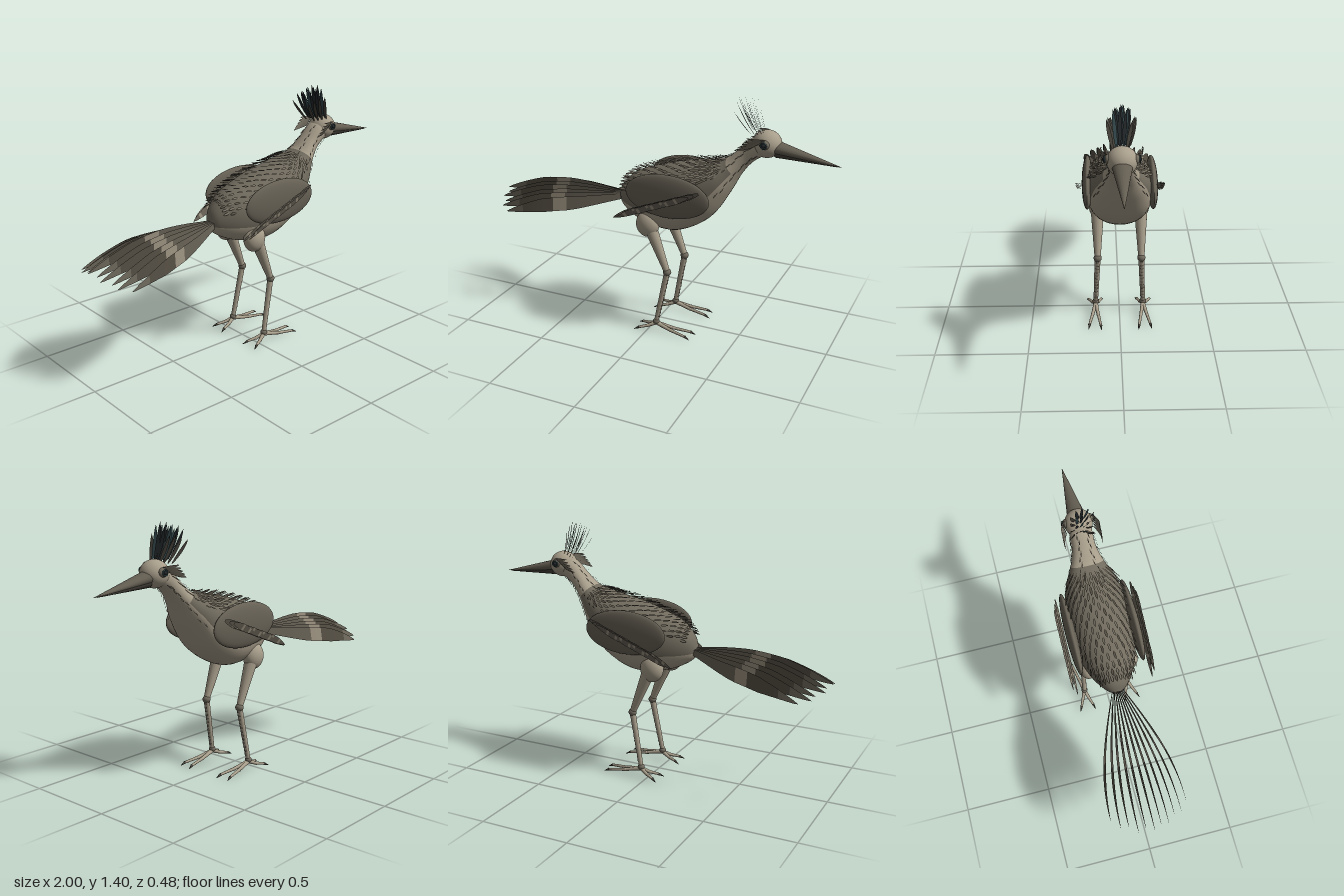
import * as THREE from 'three';
import { mergeGeometries } from 'three/addons/utils/BufferGeometryUtils.js';

const mat = (name, color) => new THREE.MeshStandardMaterial({ name, color, side: THREE.DoubleSide });
const V = (x, y, z) => new THREE.Vector3(x, y, z);

// Flat feather: a strip along path(t), widened along dir by width(t), for t in [t0, t1]
function blade(path, dir, width, t0 = 0, t1 = 1, n = 8) {
  const pos = [], idx = [];
  for (let i = 0; i <= n; i++) {
    const t = t0 + (t1 - t0) * i / n, p = path(t), w = width(t);
    for (const k of [-1, 1]) pos.push(p.x + dir.x * w * k, p.y + dir.y * w * k, p.z + dir.z * w * k);
    if (i < n) idx.push(2 * i, 2 * i + 1, 2 * i + 2, 2 * i + 1, 2 * i + 3, 2 * i + 2);
  }
  const g = new THREE.BufferGeometry();
  g.setAttribute('position', new THREE.Float32BufferAttribute(pos, 3));
  g.setIndex(idx);
  g.computeVertexNormals();
  return g;
}
const leaf = (w) => (t) => w * Math.pow(Math.sin(Math.PI * (0.06 + 0.94 * t)), 0.7);

export function createModel() {
  const model = new THREE.Group();
  model.name = 'crestedBird';
  const cream = mat('cream', 0xa89e8b), mantle = mat('mantle brown', 0x716b5e), wingMat = mat('wing brown', 0x686256),
    dark = mat('dark feather', 0x565045), band = mat('pale band', 0x9c9280), beakMat = mat('beak', 0x645e52),
    lowBeak = mat('lower beak', 0x45413a), black = mat('crest black', 0x23282a), teal = mat('crest teal', 0x34484c);

  const add = (name, geo, material, parent = model) => {
    const m = new THREE.Mesh(geo, material);
    m.name = name;
    parent.add(m);
    return m;
  };
  const ball = (name, material, p, sx, sy, sz, parent) => {
    const m = add(name, new THREE.SphereGeometry(1, 32, 20), material, parent);
    m.position.copy(p);
    m.scale.set(sx, sy, sz);
    return m;
  };
  const limb = (name, material, a, b, r0, r1, parent) => {
    const d = b.clone().sub(a);
    const m = add(name, new THREE.CylinderGeometry(r1, r0, d.length(), 16), material, parent);
    m.position.copy(a).add(b).multiplyScalar(0.5);
    m.quaternion.setFromUnitVectors(V(0, 1, 0), d.normalize());
    return m;
  };

  // Body and neck: sections given by a top point, a bottom point and a half width
  const sections = [
    [-0.235, 0.755, -0.235, 0.72, 0.015], [-0.21, 0.82, -0.2, 0.68, 0.06], [-0.13, 0.895, -0.11, 0.63, 0.118],
    [0, 0.945, 0.0, 0.6, 0.16], [0.11, 0.98, 0.14, 0.599, 0.175], [0.23, 1.005, 0.31, 0.695, 0.168],
    [0.32, 1.022, 0.415, 0.85, 0.138], [0.4, 1.05, 0.475, 0.962, 0.092], [0.465, 1.11, 0.53, 1.035, 0.066],
    [0.53, 1.175, 0.585, 1.078, 0.062], [0.59, 1.205, 0.63, 1.09, 0.06]];
  const topLine = new THREE.CatmullRomCurve3(sections.map((s) => V(s[0], s[1], s[4])));
  const lowLine = new THREE.CatmullRomCurve3(sections.map((s) => V(s[2], s[3], s[4])));
  const bodyPoint = (u, a) => {
    const t = topLine.getPoint(u), b = lowLine.getPoint(u), c = Math.cos(a);
    return V((t.x + b.x + (t.x - b.x) * c) / 2, (t.y + b.y + (t.y - b.y) * c) / 2,
      t.z * Math.sin(a) * (1 + 0.14 * c * c));
  };
  const NU = 50, NA = 40, pos = [], upper = [], lower = [];
  for (let i = 0; i <= NU; i++) {
    for (let j = 0; j < NA; j++) {
      pos.push(...bodyPoint(i / NU, j / NA * Math.PI * 2).toArray());
      if (i === NU) continue;
      const k = (j + 1) % NA, a = i * NA + j, b = i * NA + k;
      const isBack = i / NU < 0.7 && Math.cos((j + 0.5) / NA * Math.PI * 2) > -0.28;
      (isBack ? upper : lower).push(a, b, a + NA, b, b + NA, a + NA);
    }
  }
  const bodyGeo = new THREE.BufferGeometry();
  bodyGeo.setAttribute('position', new THREE.Float32BufferAttribute(pos, 3));
  bodyGeo.setIndex([...upper, ...lower]);
  bodyGeo.addGroup(0, upper.length, 0);
  bodyGeo.addGroup(upper.length, lower.length, 1);
  bodyGeo.computeVertexNormals();
  add('body', bodyGeo, [mantle, cream]);

  // Small feathers lying on the back and along the neck
  const tuft = (u, a, len, w, lift) => {
    const p = bodyPoint(u, a), c = bodyPoint(u, a + Math.PI), q = bodyPoint(Math.max(u - 0.03, 0), a);
    const out = p.clone().sub(c).normalize(), back = q.sub(p).normalize();
    const across = back.clone().cross(out).normalize();
    return blade((t) => p.clone().addScaledVector(back, len * t).addScaledVector(out, 0.004 + lift * t),
      across, leaf(w), 0, 1, 4);
  };
  const backTufts = [[], []], neckTufts = [];
  for (let r = 0; r < 17; r++)
    for (let k = -5; k <= 5; k++)
      backTufts[(r + k + 6) % 3 ? 0 : 1].push(
        tuft(0.16 + r * 0.032, (k + (r % 2) * 0.5) * 0.21, 0.058, 0.007, 0.034 - 0.001 * r));
  for (let r = 0; r < 10; r++)
    for (const a of [0.3, 1.2, 2.1, -0.3, -1.2, -2.1])
      neckTufts.push(tuft(0.6 + r * 0.034, a + (r % 2) * 0.1 * Math.sign(a), 0.035, 0.0035, 0.009));
  add('backFeathers', mergeGeometries(backTufts[0]), mantle);
  add('backFeathersDark', mergeGeometries(backTufts[1]), dark);
  add('neckFeathers', mergeGeometries(neckTufts), mantle);

  // Head and two-part beak
  ball('head', cream, V(0.61, 1.152, 0), 0.077, 0.073, 0.076);
  limb('upperBeak', beakMat, V(0.665, 1.137, 0), V(1, 1.08, 0), 0.035, 0.001).scale.z = 1.4;
  limb('lowerBeak', lowBeak, V(0.665, 1.115, 0), V(0.98, 1.079, 0), 0.029, 0.001).scale.z = 1.4;

  // Crest: four rows of upright blades fanned sideways, dark brown at the edges
  const crest = [[], [], []];
  for (let r = 0; r < 4; r++)
    for (let k = -2; k <= 2; k++) {
      const x = 0.525 + r * 0.024, h = 0.165 + 0.013 * Math.min(r, 2) - 0.012 * k * k;
      const tone = Math.abs(k) === 2 ? 2 : (r + k + 8) % 3 === 0 ? 1 : 0;
      const shift = (r - 1.5) * 0.007;
      crest[tone].push(blade(
        (t) => V(x - (0.1 - 0.012 * r) * t + 0.018 * t * t, 1.215 - 0.004 * k * k + h * t, k * (0.016 + 0.016 * t) + shift),
        V(0.35, 0, 0.93), leaf(0.0105)));
    }
  add('crestFeathers', mergeGeometries(crest[0]), black);
  add('crestSheen', mergeGeometries(crest[1]), teal);
  add('crestEdges', mergeGeometries(crest[2]), lowBeak);

  // Tail: upright pointed blades spreading sideways, with a pale band and lighter tips
  const tail = { base: [], band: [], outer: [], tip: [] };
  for (let i = -5; i <= 5; i++) {
    const s = i / 5, len = 0.8 - 0.1 * s * s - (i % 2 ? 0.02 : 0);
    const path = (t) => V(-0.2 - len * t,
      0.74 + 0.09 * t - 0.17 * t * t - 0.06 * Math.abs(s) * Math.sin(Math.min(1, t * 2) * Math.PI / 2),
      s * (0.02 + 0.19 * Math.sin(t * Math.PI / 2)));
    const width = (t) => 0.041 * Math.min(1, 0.35 + 1.5 * t) * Math.pow(Math.min(1, Math.max(0, (1 - t) * 3)), 0.75);
    const up = V(0, 1, -0.12 * s + 0.05).normalize();
    tail.base.push(blade(path, up, width, 0, 0.46));
    tail.band.push(blade(path, up, width, 0.46, 0.57, 3));
    tail.outer.push(blade(path, up, width, 0.57, 0.84, 5));
    tail.tip.push(blade(path, up, width, 0.84, 1, 6));
  }
  add('tailFeathers', mergeGeometries(tail.base), wingMat);
  add('tailBand', mergeGeometries(tail.band), band);
  add('tailOuter', mergeGeometries(tail.outer), dark);
  add('tailTips', mergeGeometries(tail.tip), mantle);

  for (const s of [1, -1]) {
    const side = s > 0 ? 'left' : 'right';
    const P = (x, y, z) => V(x, y, z * s);

    // Wing shell and layered flight feathers
    const wing = new THREE.Group();
    wing.name = side + 'Wing';
    model.add(wing);
    ball('wingShell', wingMat, P(0.122, 0.842, 0.174), 0.243, 0.122, 0.03, wing);
    const quills = [[], []];
    for (let i = 0; i < 13; i++) {
      const f = i / 12, x = 0.32 - 0.3 * f, y = 0.9 - 0.12 * f, z = 0.213 + 0.018 * ((i % 3) / 2);
      const path = (t) => P(x - (0.16 + 0.04 * f) * t, y - (0.07 + 0.015 * f) * t - 0.01 * t * t, z);
      const dir = V(-0.38, 0.85, 0.36 * s).normalize();
      const add2 = (list, t0, t1) => list.push(blade(path, dir, leaf(0.02), t0, t1, 4));
      add2(quills[0], 0, 0.4);
      add2(quills[1], 0.4, 0.48);
      add2(quills[0], 0.48, 0.7);
      add2(quills[1], 0.7, 0.78);
      add2(quills[0], 0.78, 1);
    }
    add('flightFeathers', mergeGeometries(quills[0]), wingMat, wing);
    add('flightFeatherBars', mergeGeometries(quills[1]), band, wing);

    // Eye with ring, brow and cheek feathers
    const eye = new THREE.Group();
    eye.name = side + 'Eye';
    model.add(eye);
    ball('eyePatch', mantle, P(0.616, 1.164, 0.066), 0.027, 0.025, 0.02, eye);
    const ring = add('eyeRing', new THREE.TorusGeometry(0.015, 0.004, 10, 24), teal, eye);
    ring.position.copy(P(0.616, 1.164, 0.085));
    ball('pupil', black, P(0.616, 1.164, 0.084), 0.011, 0.011, 0.011, eye);
    const brow = [];
    for (let i = 0; i < 5; i++)
      brow.push(blade((t) => P(0.62 - i * 0.013 - 0.09 * t, 1.19 - i * 0.009 + (0.006 - 0.008 * i) * t, 0.074 + 0.028 * Math.sin(t * 2.2)),
        V(0, 0.9, 0.4 * s), leaf(0.008)));
    add('browFeathers', mergeGeometries(brow), mantle, eye);

    // Leg with thigh, shin, scaly shank and four toes
    const leg = new THREE.Group();
    leg.name = side + 'Leg';
    model.add(leg);
    const knee = P(0.105, 0.37, 0.123), ankle = P(0.045, 0.055, 0.137);
    ball('thigh', cream, P(-0.015, 0.64, 0.12), 0.067, 0.075, 0.05, leg);
    limb('shin', cream, P(0.0, 0.63, 0.122), knee, 0.038, 0.017, leg);
    ball('knee', mantle, knee, 0.023, 0.022, 0.023, leg);
    limb('shank', cream, knee, ankle, 0.017, 0.013, leg);
    for (let i = 1; i < 13; i++) {
      const scale = ball('shankScale', mantle, knee.clone().lerp(ankle, i / 13.5), 0.004, 0.007, 0.009, leg);
      scale.position.x += 0.0145 - 0.003 * i / 13;
    }
    ball('ankle', mantle, ankle, 0.019, 0.018, 0.019, leg);
    for (const [x, z] of [[0.235, 0.172], [0.245, 0.108], [-0.045, 0.178], [-0.05, 0.105]]) {
      const tip = P(x, 0.016, z), mid = ankle.clone().lerp(tip, 0.5).setY(0.026);
      limb('toeBase', cream, ankle.clone().setY(0.045), mid, 0.012, 0.009, leg);
      ball('toeJoint', cream, mid, 0.01, 0.01, 0.01, leg);
      limb('toe', cream, mid, tip, 0.009, 0.007, leg);
      const end = tip.clone().add(tip.clone().sub(mid).setLength(0.03)).setY(0.003);
      limb('claw', lowBeak, tip, end, 0.008, 0.001, leg);
    }
  }
  return model;
}
